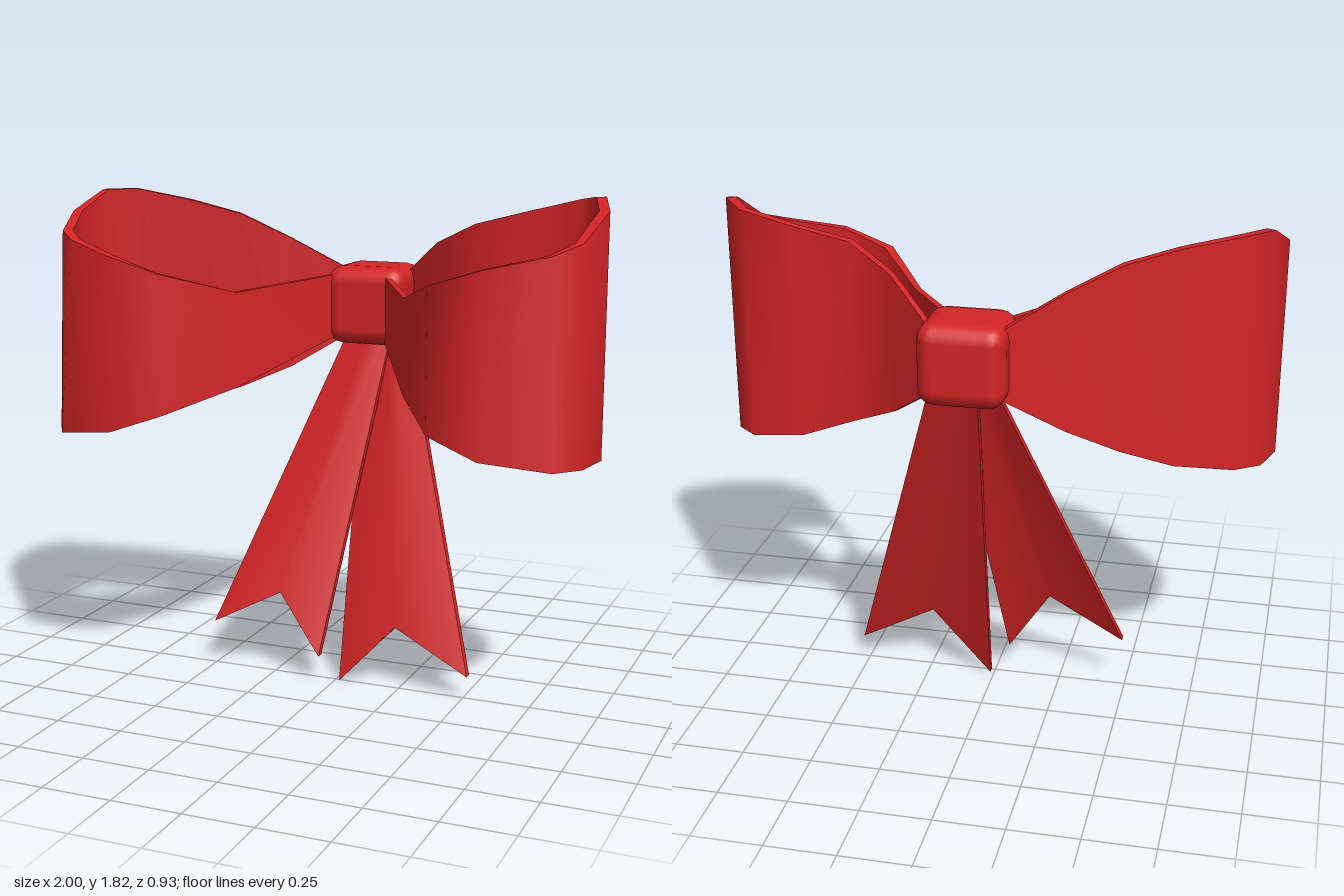
import * as THREE from 'three';
import { mergeGeometries } from 'three/addons/utils/BufferGeometryUtils.js';
import { RoundedBoxGeometry } from 'three/addons/geometries/RoundedBoxGeometry.js';

// Smooth strip of quads between two rows of [x, y, z] points
function strip(a, b, flip = false) {
  const index = [];
  const n = a.length;
  for (let i = 0; i < n - 1; i++) {
    const quad = [i, n + i, i + 1, n + i, n + i + 1, i + 1];
    if (flip) quad.reverse();
    index.push(...quad);
  }
  const g = new THREE.BufferGeometry();
  g.setAttribute('position', new THREE.Float32BufferAttribute([...a, ...b].flat(), 3));
  g.setIndex(index);
  g.computeVertexNormals();
  return g;
}

// Ribbon loop with thickness; rows are [x, z, topY, bottomY, flare of lower edge]
function loopGeometry(rows, side) {
  const outTop = [], outBottom = [], inTop = [], inBottom = [];
  rows.forEach(([x, z, top, bottom, flare = 0], i) => {
    const p = rows[Math.max(i - 1, 0)], q = rows[Math.min(i + 1, rows.length - 1)];
    const len = Math.hypot(q[0] - p[0], q[1] - p[1]) * side;
    const nx = (q[1] - p[1]) / len, nz = -(q[0] - p[0]) / len;
    const edge = Math.min(i, rows.length - 1 - i);
    const half = edge < 2 ? 0.011 : 0.018;
    const at = (d, y) => [x + nx * d, y, z + nz * d];
    outTop.push(at(half, top));
    inTop.push(at(-half, top));
    outBottom.push(at(half + flare, bottom));
    inBottom.push(at(-half + flare, bottom));
  });
  const flip = side < 0;
  return mergeGeometries([
    strip(outBottom, outTop, flip),
    strip(inTop, inBottom, flip),
    strip(outTop, inTop, flip),
    strip(inBottom, outBottom, flip),
  ]);
}

// Notched tail: front rows of three points, pushed back for thickness
function tailGeometry(top, bottom, thickness) {
  const back = (row) => row.map(([x, y, z]) => [x, y, z - thickness]);
  const tb = back(top), bb = back(bottom);
  return mergeGeometries([
    strip(top, bottom),
    strip(bb, tb),
    strip(bottom.slice(0, 2), bb.slice(0, 2)),
    strip(bottom.slice(1), bb.slice(1)),
    strip([top[0], bottom[0]], [tb[0], bb[0]]),
    strip([tb[2], bb[2]], [top[2], bottom[2]]),
    strip(tb, top),
  ]);
}

export function createModel() {
  const group = new THREE.Group();
  const red = new THREE.MeshStandardMaterial({ color: 0xd42426, side: THREE.DoubleSide });
  red.name = 'ribbon red';
  const add = (name, geometry) => {
    const mesh = new THREE.Mesh(geometry, red);
    mesh.name = name;
    group.add(mesh);
    return mesh;
  };

  // Central knot
  add('knot', new RoundedBoxGeometry(0.305, 0.29, 0.285, 2, 0.06)).position.set(0.027, 1.385, -0.322);

  // Loops, from the back of the knot round to its front
  add('leftLoop', loopGeometry([
    [0.12, -0.38, 1.48, 1.28],
    [0.31, -0.225, 1.63, 1.13],
    [0.48, -0.135, 1.71, 1.05],
    [0.67, -0.162, 1.76, 0.99],
    [0.855, -0.153, 1.805, 0.97],
    [0.935, -0.06, 1.82, 0.955],
    [0.98, 0.08, 1.785, 0.95],
    [0.935, 0.22, 1.69, 0.95, 0.025],
    [0.865, 0.3, 1.655, 0.96, 0.06],
    [0.66, 0.385, 1.61, 0.985, 0.01],
    [0.485, 0.36, 1.55, 1.05],
    [0.31, 0.12, 1.47, 1.13],
    [0.08, -0.27, 1.5, 1.28],
  ], 1));
  add('rightLoop', loopGeometry([
    [-0.06, -0.38, 1.48, 1.28],
    [-0.3, -0.28, 1.62, 1.13],
    [-0.48, -0.22, 1.71, 1.05],
    [-0.66, -0.165, 1.76, 0.99],
    [-0.86, -0.11, 1.8, 0.97],
    [-0.94, -0.02, 1.8, 0.955],
    [-0.98, 0.12, 1.73, 0.95],
    [-0.935, 0.27, 1.67, 0.95, 0.03],
    [-0.85, 0.36, 1.65, 0.96, 0.06],
    [-0.675, 0.437, 1.61, 0.985, 0.01],
    [-0.5, 0.41, 1.55, 1.05],
    [-0.305, 0.2, 1.47, 1.13],
    [-0.08, -0.25, 1.5, 1.28],
  ], -1));

  // Tails hanging from the knot
  add('rightTail', tailGeometry(
    [[-0.055, 1.35, -0.35], [0.02, 1.35, -0.34], [0.1, 1.35, -0.34]],
    [[-0.485, 0.18, 0.04], [-0.205, 0.33, 0.05], [-0.05, 0.1, 0.055]], 0.03));
  add('leftTail', tailGeometry(
    [[-0.02, 1.35, -0.365], [0.06, 1.35, -0.36], [0.13, 1.35, -0.355]],
    [[0.015, 0, 0.008], [0.24, 0.24, 0.018], [0.52, 0.09, 0.025]], 0.03));
  return group;
}
